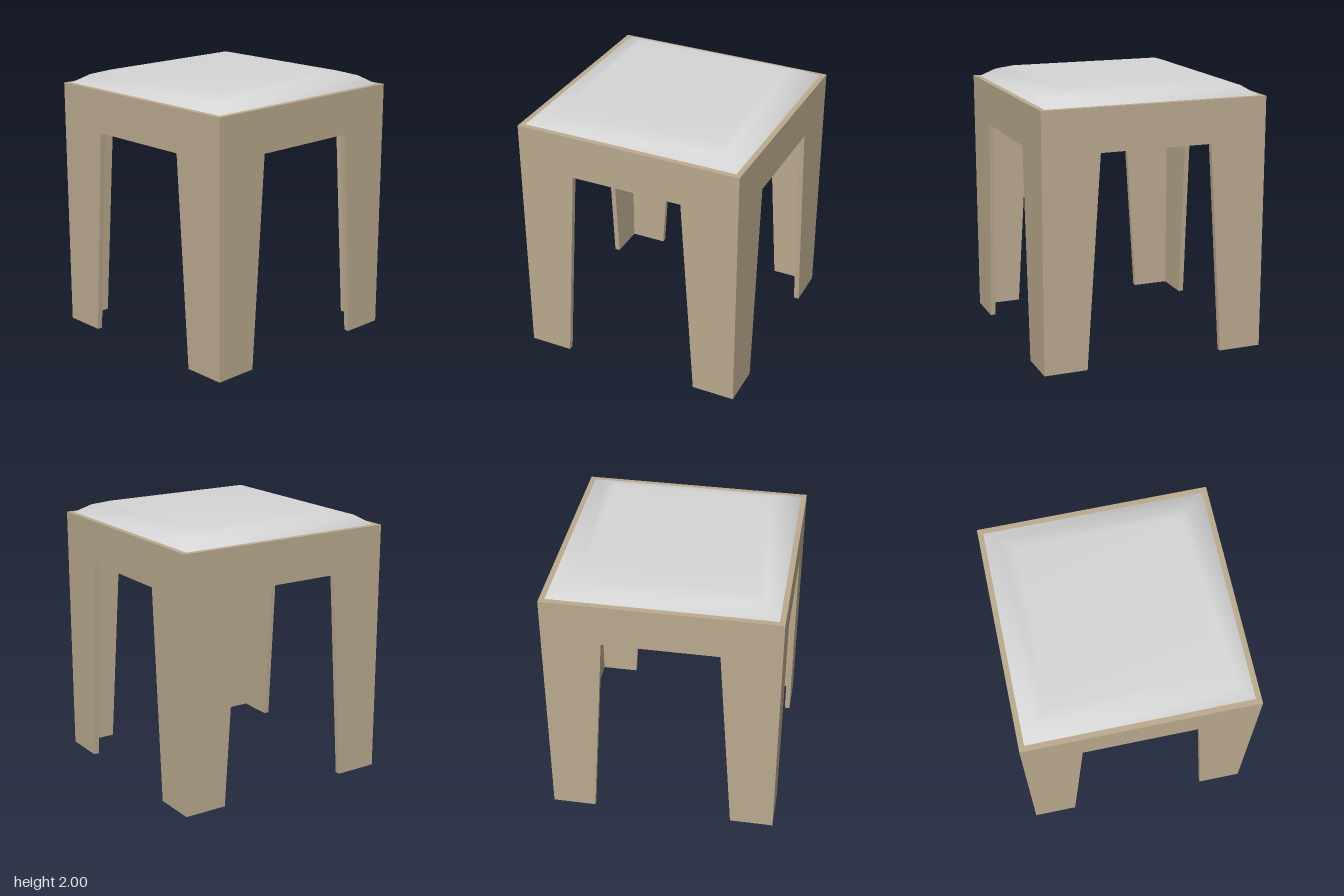
import * as THREE from 'three';

const HALF = 0.85;      // half width of the frame
const THICK = 0.04;     // panel thickness
const TOP = 1.9;        // top of the frame
const INNER = HALF - THICK;

// One side of the frame: apron and two tapered half legs, mitred at the corners
function panelGeometry() {
  const shape = new THREE.Shape([
    [-HALF, 0], [-0.525, 0], [-0.42, 1.58], [0.42, 1.58],
    [0.525, 0], [HALF, 0], [HALF, TOP], [-HALF, TOP],
  ].map(([x, y]) => new THREE.Vector2(x, y)));
  const geo = new THREE.ExtrudeGeometry(shape, { depth: THICK, bevelEnabled: false });
  geo.translate(0, 0, INNER);
  const p = geo.attributes.position;
  for (let i = 0; i < p.count; i++) {
    if (Math.abs(p.getX(i)) > INNER && p.getZ(i) < INNER + 0.01) {
      p.setX(i, Math.sign(p.getX(i)) * INNER);
    }
  }
  geo.computeVertexNormals();
  return geo;
}

// Domed square shell made from shrinking square rings, with smooth normals
function cushionGeometry() {
  const rings = [[INNER, TOP], [0.71, 1.965], [0.6, 2]];
  const corners = [[-1, 1], [1, 1], [1, -1], [-1, -1]];
  const positions = [], index = [];
  for (const [r, y] of rings) {
    for (const [sx, sz] of corners) positions.push(sx * r, y, sz * r);
  }
  for (let k = 0; k < rings.length - 1; k++) {
    for (let i = 0; i < 4; i++) {
      const a = k * 4 + i, b = k * 4 + (i + 1) % 4;
      index.push(a, b, b + 4, a, b + 4, a + 4);
    }
  }
  const c = (rings.length - 1) * 4;
  index.push(c, c + 1, c + 2, c, c + 2, c + 3);
  const geo = new THREE.BufferGeometry();
  geo.setAttribute('position', new THREE.Float32BufferAttribute(positions, 3));
  geo.setIndex(index);
  geo.computeVertexNormals();
  return geo;
}

export function createModel() {
  const wood = new THREE.MeshStandardMaterial({ color: 0xbbaa8e });
  wood.name = 'tan wood';
  const fabric = new THREE.MeshStandardMaterial({ color: 0xd6d6d6, side: THREE.DoubleSide });
  fabric.name = 'light grey fabric';

  const model = new THREE.Group();
  model.name = 'stool';

  // Four identical frame sides
  const frame = new THREE.Group();
  frame.name = 'frame';
  const panel = panelGeometry();
  ['frontPanel', 'leftPanel', 'backPanel', 'rightPanel'].forEach((name, i) => {
    const mesh = new THREE.Mesh(panel, wood);
    mesh.name = name;
    mesh.rotation.y = i * Math.PI / 2;
    frame.add(mesh);
  });
  model.add(frame);

  // Seat, open underneath
  const cushion = new THREE.Mesh(cushionGeometry(), fabric);
  cushion.name = 'seatCushion';
  model.add(cushion);

  return model;
}
